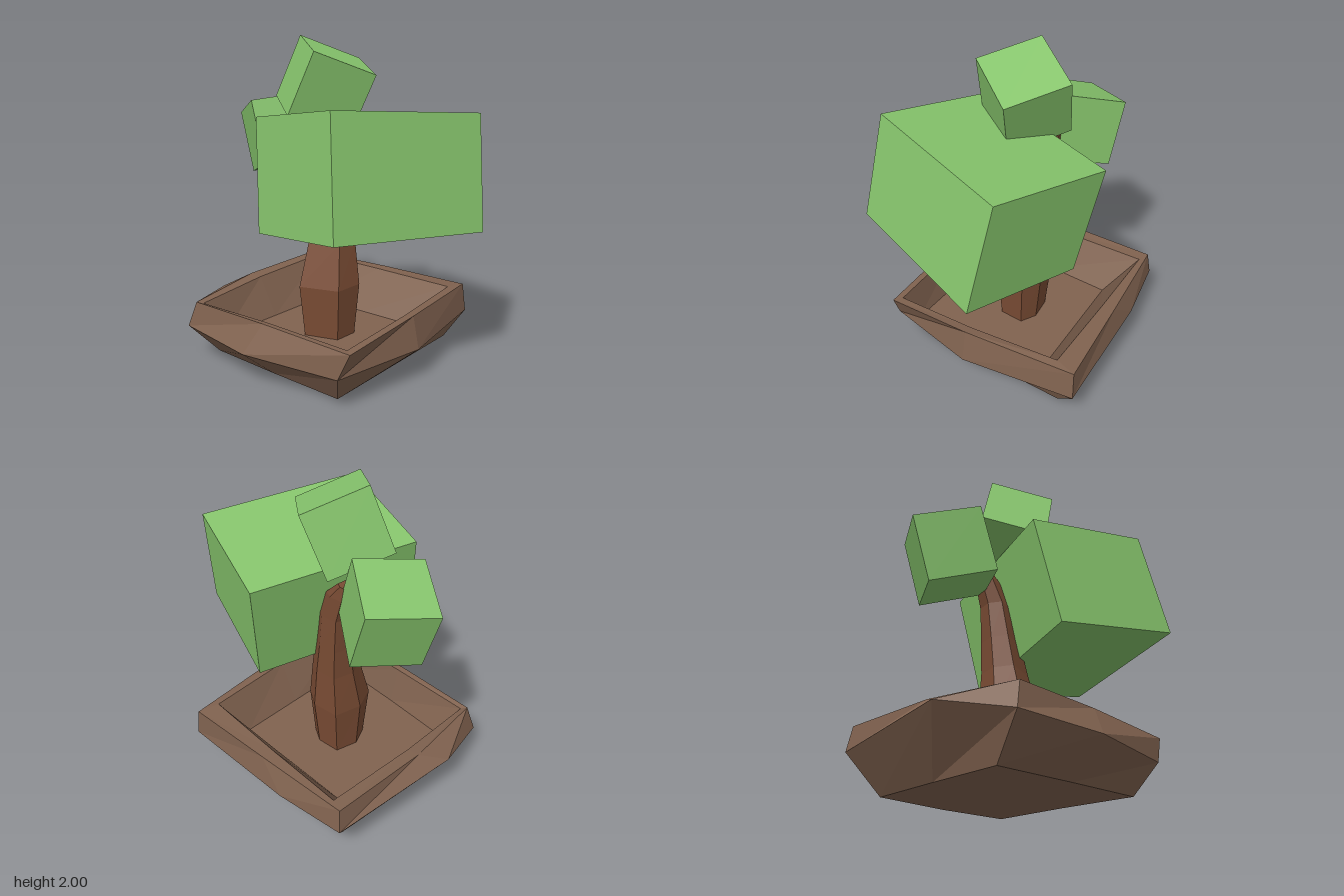
import * as THREE from 'three';

const material = (color) => new THREE.MeshStandardMaterial({ color, flatShading: true });

// Joins rings of [x, y, z] points (counterclockwise from above) and closes both ends.
function loft(rings) {
  const n = rings[0].length;
  const index = [];
  for (let r = 0; r < rings.length - 1; r++) {
    for (let i = 0; i < n; i++) {
      const a = r * n + i, b = r * n + (i + 1) % n;
      index.push(a, b, b + n, a, b + n, a + n);
    }
  }
  const last = (rings.length - 1) * n;
  for (let i = 1; i < n - 1; i++) {
    index.push(0, i + 1, i);
    index.push(last, last + i, last + i + 1);
  }
  const g = new THREE.BufferGeometry();
  g.setAttribute('position', new THREE.Float32BufferAttribute(rings.flat(2), 3));
  g.setIndex(index);
  const flat = g.toNonIndexed();
  flat.computeVertexNormals();
  return flat;
}

// A tilted block given by its centre and three edge vectors.
function block(centre, ex, ey, ez) {
  const m = new THREE.Matrix4().makeBasis(
    new THREE.Vector3(...ex), new THREE.Vector3(...ey), new THREE.Vector3(...ez));
  m.setPosition(...centre);
  return new THREE.BoxGeometry(1, 1, 1).applyMatrix4(m);
}

export function createModel() {
  const model = new THREE.Group();
  const add = (name, geometry, mat) => {
    const mesh = new THREE.Mesh(geometry, mat);
    mesh.name = name;
    model.add(mesh);
  };
  const leaf = material(0x86c46c);

  // Rough hollow planter: base, belly, outer rim, inner rim, floor
  add('planter', loft([
    [[-0.65, 0, 0.41], [-0.14, 0.01, 0.45], [0.37, 0.02, 0.48], [0.41, 0.04, -0.05],
      [0.44, 0.05, -0.58], [-0.1, 0.02, -0.55], [-0.6, 0, -0.5], [-0.63, 0, -0.05]],
    [[-0.72, 0.22, 0.6], [-0.17, 0.21, 0.68], [0.46, 0.21, 0.6], [0.6, 0.21, 0],
      [0.52, 0.21, -0.72], [-0.3, 0.25, -0.72], [-0.74, 0.25, -0.66], [-0.85, 0.33, 0.16]],
    [[-0.67, 0.38, 0.57], [-0.1, 0.385, 0.58], [0.53, 0.37, 0.58], [0.56, 0.41, 0],
      [0.5, 0.39, -0.71], [-0.1, 0.4, -0.68], [-0.72, 0.4, -0.64], [-0.74, 0.4, 0]],
    [[-0.64, 0.37, 0.54], [-0.1, 0.38, 0.54], [0.48, 0.37, 0.54], [0.5, 0.4, 0],
      [0.46, 0.4, -0.58], [-0.1, 0.4, -0.6], [-0.64, 0.4, -0.61], [-0.66, 0.39, 0]],
    [[-0.56, 0.14, 0.45], [-0.1, 0.14, 0.48], [0.38, 0.14, 0.5], [0.37, 0.14, 0],
      [0.36, 0.14, -0.42], [-0.1, 0.14, -0.42], [-0.5, 0.14, -0.42], [-0.53, 0.14, 0]],
  ]), material(0x80624f));

  // Tapering six-sided trunk leaning toward the small branch: [x, y, z, rx, rz]
  const section = [[-0.6, 0.95], [0.9, 0.5], [1, -0.6], [0.3, -1], [-0.75, -0.9], [-1, 0.1]];
  const trunk = [
    [-0.08, 0.12, -0.01, 0.14, 0.14],
    [-0.08, 0.47, -0.01, 0.165, 0.175],
    [-0.09, 0.75, -0.05, 0.13, 0.13],
    [-0.11, 0.95, -0.07, 0.11, 0.11],
    [-0.13, 1.18, -0.09, 0.1, 0.09],
    [-0.19, 1.34, -0.11, 0.08, 0.07],
    [-0.25, 1.43, -0.12, 0.05, 0.05],
  ].map(([x, y, z, rx, rz]) => section.map(([u, v]) => [x + u * rx, y, z + v * rz]));
  add('trunk', loft(trunk), material(0x7a4c34));

  // Foliage blocks
  add('largeFoliage', block([0.27, 1.23, 0.06],
    [0.74, 0.115, 0.245], [-0.105, 0.66, -0.11], [-0.335, 0.08, 0.955]), leaf);
  add('sideFoliage', block([-0.535, 1.38, -0.11],
    [0.315, 0.12, 0.225], [-0.125, 0.38, -0.025], [-0.22, -0.045, 0.335]), leaf);
  add('topFoliage', block([-0.105, 1.708, -0.01],
    [0.305, -0.08, 0.245], [0.145, 0.365, -0.065], [-0.21, 0.14, 0.31]), leaf);

  return model;
}
